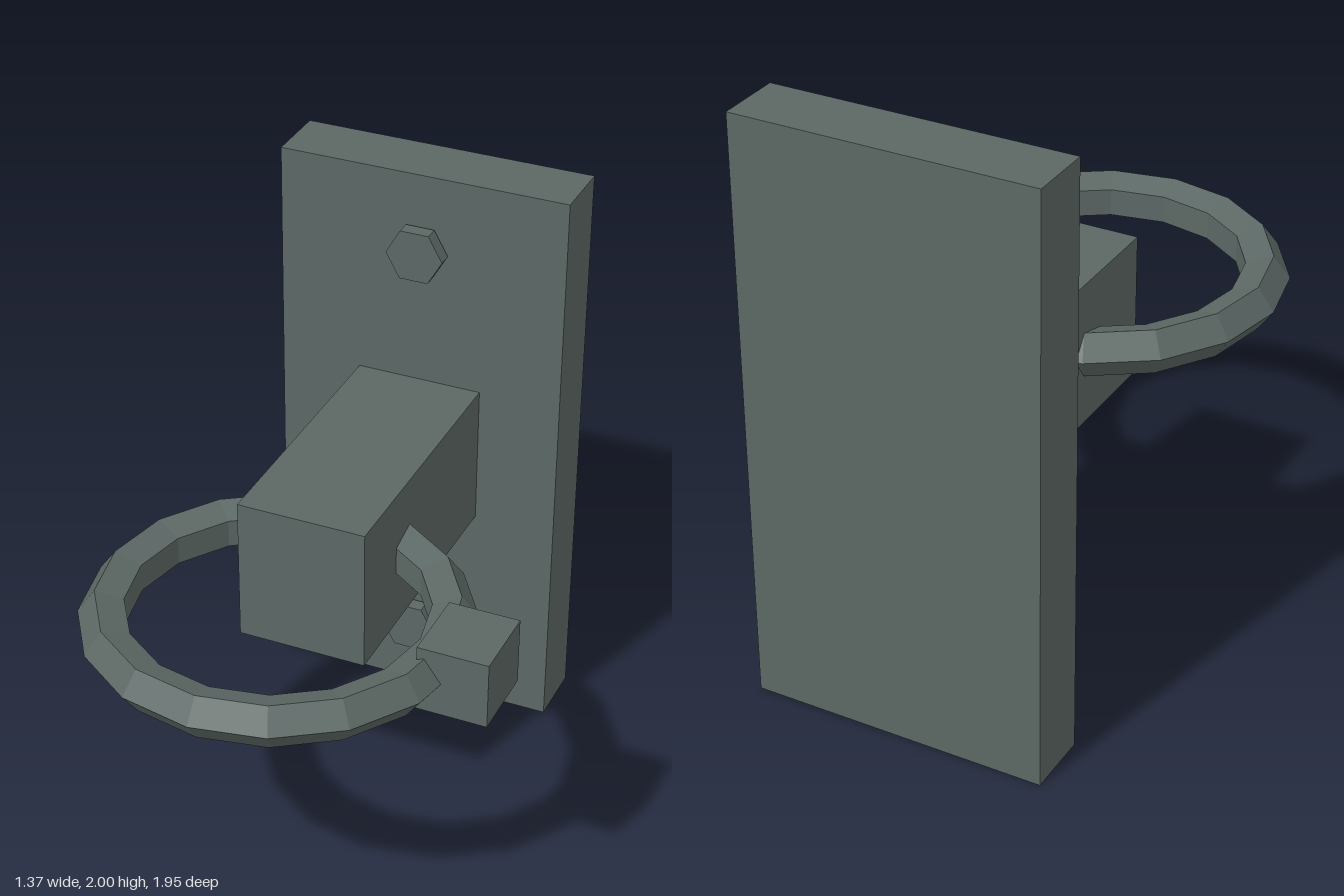
import * as THREE from 'three';

export function createModel() {
  const group = new THREE.Group();
  const iron = new THREE.MeshStandardMaterial({ color: 0x5c6865, flatShading: true });
  iron.name = 'dark iron';
  const axisX = -0.063; // shared centre line of plate, arm, ring and bolts

  const add = (name, geometry, x, y, z) => {
    const mesh = new THREE.Mesh(geometry, iron);
    mesh.name = name;
    mesh.position.set(x, y, z);
    group.add(mesh);
  };

  // Wall plate and the arm that carries the ring
  add('wallPlate', new THREE.BoxGeometry(1, 2, 0.223), axisX, 1, -0.864);
  add('arm', new THREE.BoxGeometry(0.435, 0.492, 0.939), axisX, 1.003, -0.283);

  // Horizontal ring with a five-sided section, passing through the arm
  const ring = new THREE.TorusGeometry(0.541, 0.081, 5, 16).rotateX(Math.PI / 2);
  add('ring', ring, axisX, 1.003, 0.353);

  // Block on the side of the ring
  add('ringBlock', new THREE.BoxGeometry(0.231, 0.226, 0.254), 0.569, 1.003, 0.353);

  // Hexagonal bolt heads, just clear of the plate
  const bolt = new THREE.CylinderGeometry(0.099, 0.099, 0.05, 6)
    .rotateY(Math.PI / 6)
    .rotateX(Math.PI / 2);
  add('upperBolt', bolt, axisX, 1.737, -0.713);
  add('lowerBolt', bolt, axisX, 0.268, -0.713);

  return group;
}
